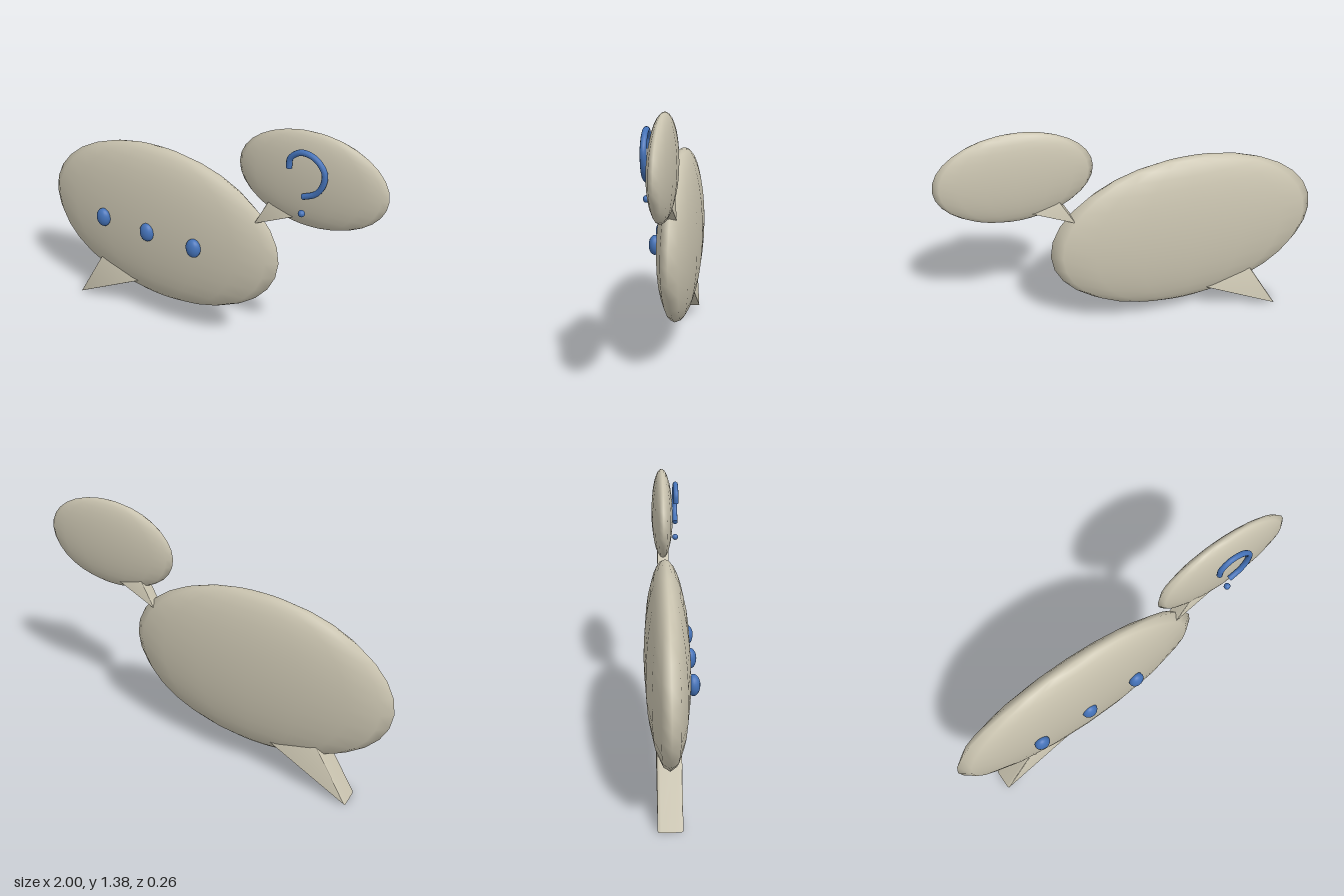
import * as THREE from 'three';
import { toCreasedNormals } from 'three/addons/utils/BufferGeometryUtils.js';

const ivory = new THREE.MeshStandardMaterial({ name: 'ivory', color: 0xcac4b0 });
const blue = new THREE.MeshStandardMaterial({ name: 'blue', color: 0x4472b8 });

const MID_Z = -0.015; // both bubbles share this middle plane

function add(parent, name, geometry, material, x = 0, y = 0, z = 0) {
  const mesh = new THREE.Mesh(geometry, material);
  mesh.name = name;
  mesh.position.set(x, y, z);
  parent.add(mesh);
  return mesh;
}

function ellipsoid(rx, ry, rz, segments) {
  return new THREE.SphereGeometry(1, segments, segments).scale(rx, ry, rz);
}

// Triangular wedge with softened edges, centred on z = 0
function tailGeometry(points, depth, bevel) {
  const shape = new THREE.Shape(points.map(([x, y]) => new THREE.Vector2(x, y)));
  const thickness = bevel * 2.5;
  const geometry = new THREE.ExtrudeGeometry(shape, {
    depth: depth - 2 * thickness,
    bevelEnabled: true,
    bevelSize: bevel,
    bevelOffset: -bevel,
    bevelThickness: thickness,
    bevelSegments: 3,
  });
  geometry.translate(0, 0, thickness - depth / 2);
  return toCreasedNormals(geometry, 0.6);
}

function bubble(name, x, y, scale, tailPoints) {
  const group = new THREE.Group();
  group.name = name;
  add(group, name + 'Body', ellipsoid(0.735 * scale, 0.461 * scale, 0.115 * scale, 16), ivory, x, y, MID_Z);
  add(group, name + 'Tail', tailGeometry(tailPoints, 0.12 * scale, 0.006 * scale), ivory, 0, 0, MID_Z);
  return group;
}

export function createModel() {
  const model = new THREE.Group();
  model.name = 'speechBubbles';

  // Large bubble with three dots; tail roots are sunk inside the body
  const large = bubble('largeBubble', -0.265, 0.627, 1, [[-0.83, 0], [-0.34, 0.262], [-0.627, 0.35]]);
  for (const x of [-0.563, -0.266, 0.031]) {
    add(large, 'ellipsisDot', ellipsoid(0.042, 0.053, 0.032, 16), blue, x, 0.628, 0.1);
  }
  model.add(large);

  // Small bubble
  const small = bubble('smallBubble', 0.613, 1.138, 0.522, [[0.336, 0.832], [0.58, 0.951], [0.42, 0.996]]);
  model.add(small);

  // Question mark hook with flat end caps, and its point
  const mark = new THREE.Group();
  mark.name = 'questionMark';
  const curve = new THREE.CatmullRomCurve3([
    [0.533, 1.212], [0.538, 1.262], [0.59, 1.301], [0.66, 1.289],
    [0.71, 1.232], [0.707, 1.166], [0.674, 1.115], [0.612, 1.084],
  ].map(([x, y]) => new THREE.Vector3(x, y, 0.061)));
  const radius = 0.0145;
  add(mark, 'hook', new THREE.TubeGeometry(curve, 40, radius, 10), blue);
  for (const t of [0, 1]) {
    const p = curve.getPoint(t);
    const outward = curve.getTangent(t).multiplyScalar(t ? 1 : -1);
    const cap = add(mark, 'hookEnd', new THREE.CircleGeometry(radius, 10), blue, p.x, p.y, p.z);
    cap.lookAt(p.clone().add(outward));
  }
  add(mark, 'point', new THREE.SphereGeometry(0.017, 12, 10), blue, 0.612, 0.996, 0.061);
  model.add(mark);

  return model;
}
